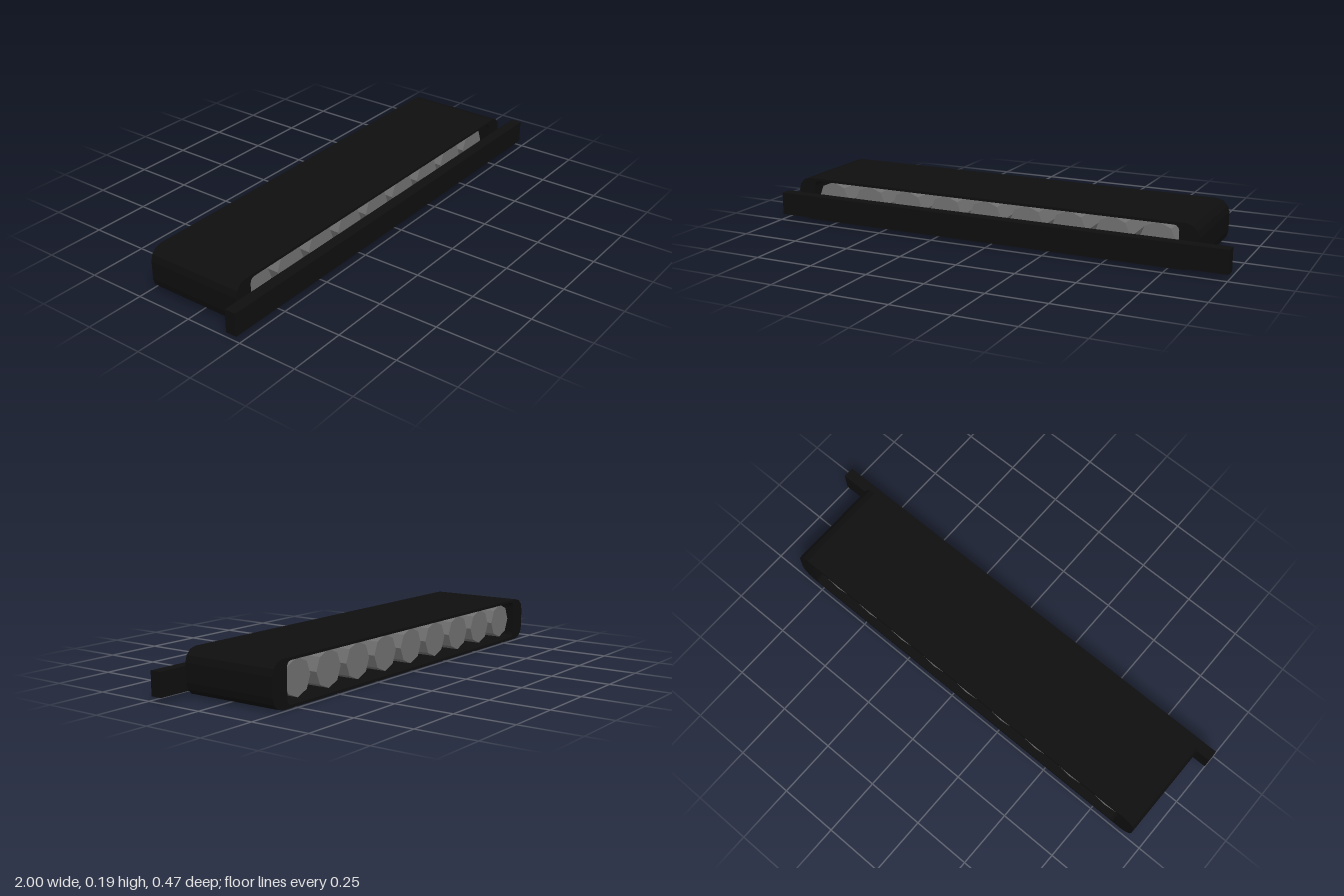
import * as THREE from 'three';

const black = new THREE.MeshStandardMaterial({ color: 0x0e0e0e, flatShading: true });
const grey = new THREE.MeshStandardMaterial({ color: 0x707070, flatShading: true });

// Closed outline: rectangle with rounded corners, [cx, cy, startAngle] per corner
function roundedLoop(Type, x0, x1, y0, y1, r) {
  const path = new Type();
  const corners = [[x1 - r, y1 - r, 0], [x0 + r, y1 - r, 1], [x0 + r, y0 + r, 2], [x1 - r, y0 + r, 3]];
  const points = [];
  for (const [cx, cy, q] of corners) {
    for (let i = 0; i <= 3; i++) {
      const a = (q + i / 3) * Math.PI / 2;
      points.push(new THREE.Vector2(cx + r * Math.cos(a), cy + r * Math.sin(a)));
    }
  }
  return path.setFromPoints(points);
}

function addMesh(group, name, geometry, material) {
  const mesh = new THREE.Mesh(geometry, material);
  mesh.name = name;
  group.add(mesh);
  return mesh;
}

export function createModel() {
  const model = new THREE.Group();
  model.name = 'conveyor';

  // Belt: hollow sleeve, thin above and below, thick at both ends
  const outline = roundedLoop(THREE.Shape, -0.94, 0.87, 0, 0.186, 0.055);
  outline.holes.push(roundedLoop(THREE.Path, -0.86, 0.79, 0.011, 0.175, 0.022));
  const beltGeometry = new THREE.ExtrudeGeometry(outline, { depth: 0.422, bevelEnabled: false });
  addMesh(model, 'belt', beltGeometry, black).position.z = -0.235;

  // Row of eight-sided rollers, set slightly inside the belt
  const rollers = new THREE.Group();
  rollers.name = 'rollers';
  const rollerGeometry = new THREE.CylinderGeometry(0.075, 0.075, 0.36, 8).rotateX(Math.PI / 2);
  for (let i = 0; i < 9; i++) {
    addMesh(rollers, 'roller', rollerGeometry, grey).position.set(-0.785 + i * 0.185, 0.095, -0.025);
  }
  model.add(rollers);

  // Long rail across the front
  addMesh(model, 'frontRail', new THREE.BoxGeometry(2, 0.097, 0.048), black).position.set(0, 0.0695, 0.211);

  return model;
}
